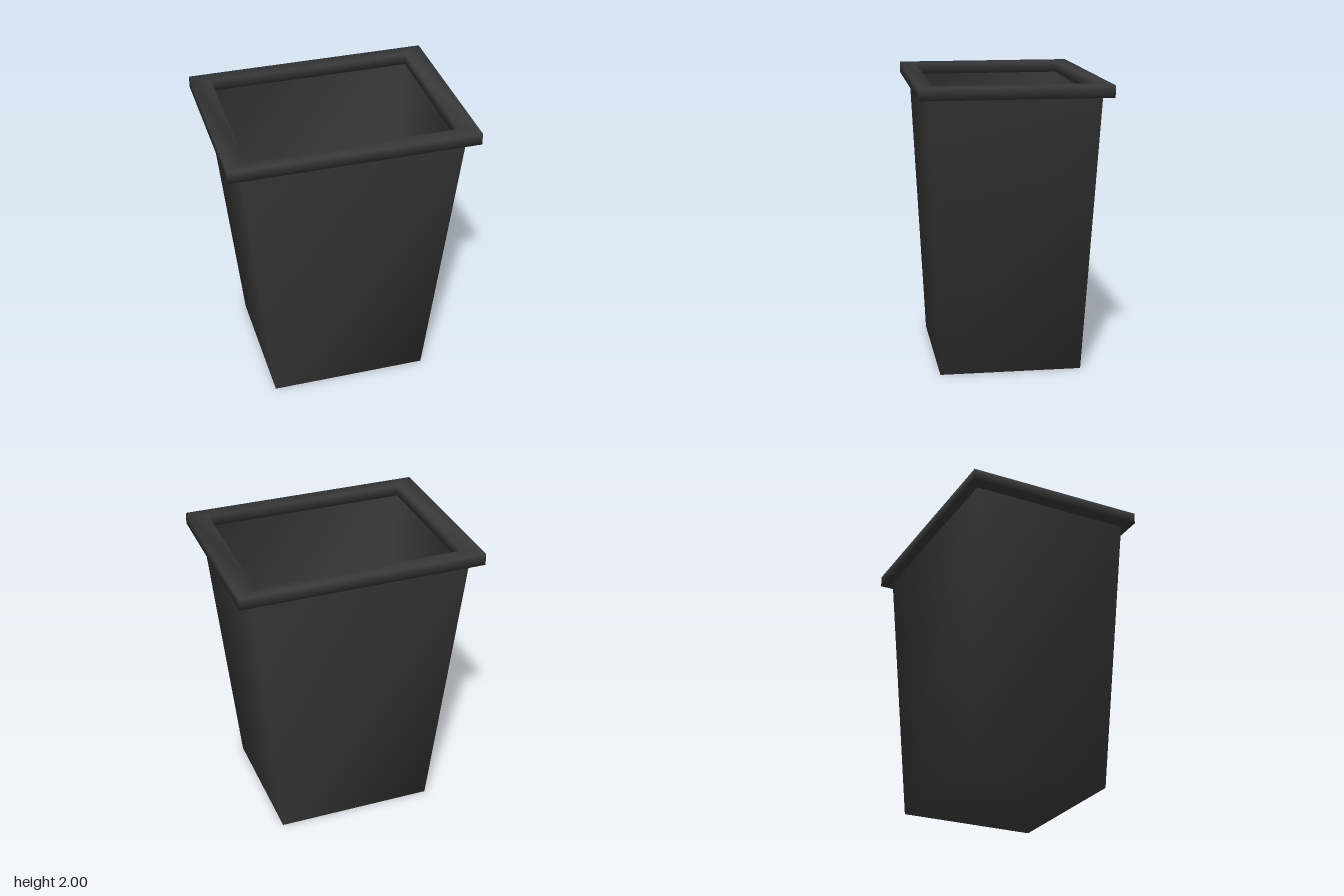
import * as THREE from 'three';

// Skin rectangular rings [halfWidth, halfDepth, y] listed from outside to inside.
// 'closed' joins the last ring to the first, otherwise both ends get a flat cap.
function loftRectangles(rings, closed) {
  const corners = [[1, 1], [1, -1], [-1, -1], [-1, 1]];
  const positions = [];
  const index = [];
  for (const [w, d, y] of rings) {
    for (const [sx, sz] of corners) positions.push(sx * w, y, sz * d);
  }
  const n = rings.length;
  const spans = closed ? n : n - 1;
  for (let i = 0; i < spans; i++) {
    const lower = i * 4;
    const upper = ((i + 1) % n) * 4;
    for (let k = 0; k < 4; k++) {
      const next = (k + 1) % 4;
      index.push(lower + k, lower + next, upper + next);
      index.push(lower + k, upper + next, upper + k);
    }
  }
  if (!closed) {
    const last = (n - 1) * 4;
    index.push(0, 2, 1, 0, 3, 2);
    index.push(last, last + 1, last + 2, last, last + 2, last + 3);
  }
  const geometry = new THREE.BufferGeometry();
  geometry.setAttribute('position', new THREE.Float32BufferAttribute(positions, 3));
  geometry.setIndex(index);
  geometry.computeVertexNormals(); // shared corners give soft shading
  return geometry;
}

export function createModel() {
  const group = new THREE.Group();
  group.name = 'wasteBin';

  const blackPlastic = new THREE.MeshStandardMaterial({ color: 0x383838 });
  blackPlastic.name = 'blackPlastic';

  function add(name, rings, closed) {
    const mesh = new THREE.Mesh(loftRectangles(rings, closed), blackPlastic);
    mesh.name = name;
    group.add(mesh);
  }

  // Tapered open container: outside wall, top edge, inside wall and floor
  add('container', [
    [0.55, 0.487, 0],
    [0.755, 0.57, 1.925],
    [0.715, 0.54, 1.925],
    [0.51, 0.45, 0.04],
  ], false);

  // Overhanging rim around the opening
  add('rim', [
    [0.705, 0.532, 1.92],
    [0.84, 0.632, 1.92],
    [0.84, 0.632, 2],
    [0.705, 0.532, 2],
  ], true);

  return group;
}
